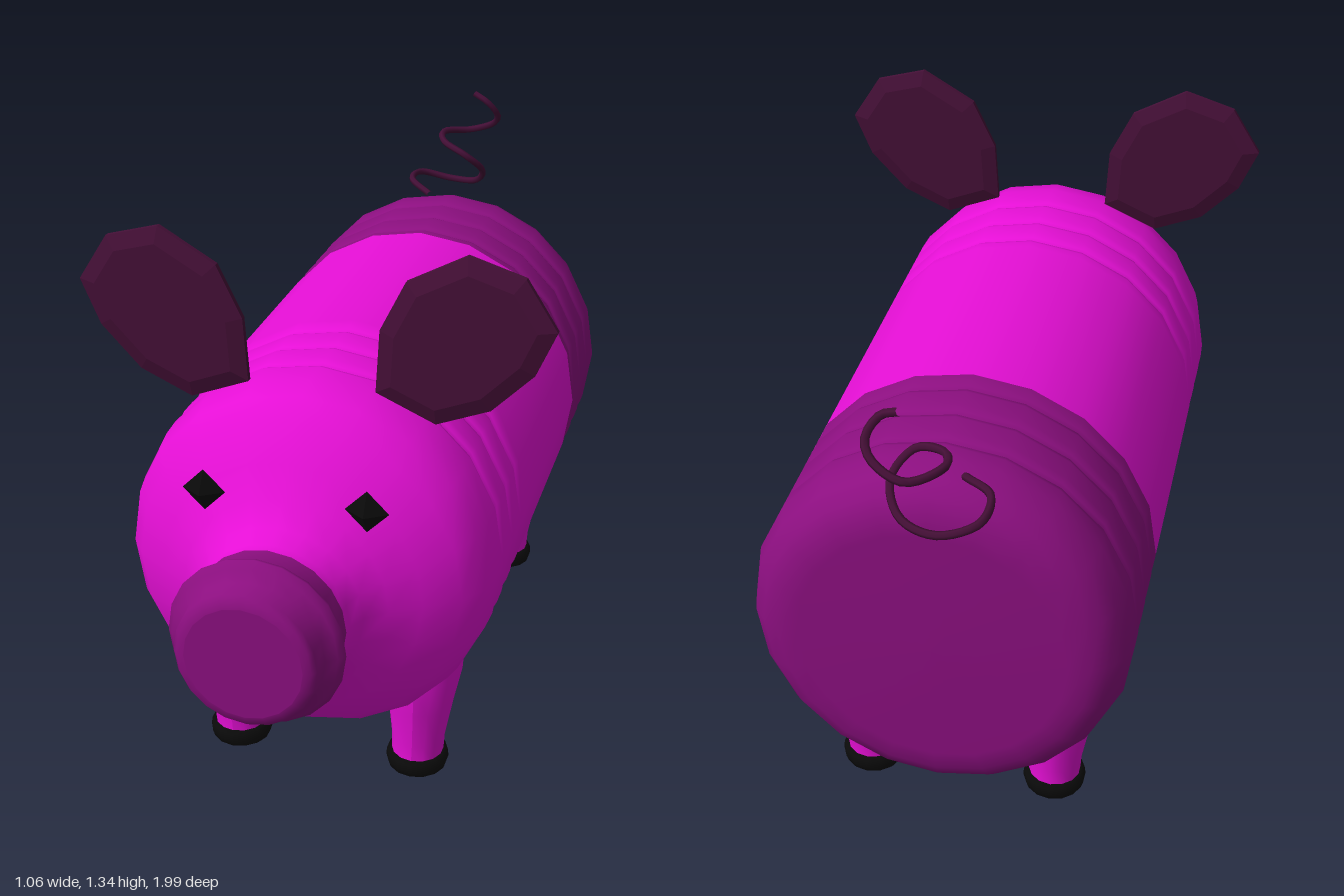
import * as THREE from 'three';

const mat = (name, color, extra = {}) => {
  const m = new THREE.MeshStandardMaterial({ color, ...extra });
  m.name = name;
  return m;
};

export function createModel() {
  const pink = mat('bright pink', 0xe60fd6);
  const plum = mat('plum', 0x8c0f80);
  const dark = mat('dark ear', 0x440f36);
  const earDark = mat('dark ear flat', 0x440f36);
  earDark.flatShading = true;
  const black = mat('black', 0x0a0a0a);
  const group = new THREE.Group();

  const add = (name, geometry, material, parent = group) => {
    const mesh = new THREE.Mesh(geometry, material);
    mesh.name = name;
    parent.add(mesh);
    return mesh;
  };

  // Turned section lying along z; profile is [z, radius], back to front
  const turned = (name, profile, material) => {
    const points = profile.map(([z, r]) => new THREE.Vector2(r, z));
    const mesh = add(name, new THREE.LatheGeometry(points, 20).rotateX(Math.PI / 2), material);
    mesh.position.y = 0.607;
    mesh.scale.x = 0.985;
    return mesh;
  };

  // Narrow groove between the bulging rings
  const R = 0.4285;
  const groove = z => [[z - 0.025, R], [z - 0.008, R - 0.006], [z, R - 0.016], [z + 0.008, R - 0.006], [z + 0.025, R]];

  turned('rump', [
    [-0.838, 0], [-0.836, 0.3], [-0.828, 0.35], [-0.81, 0.385], [-0.78, 0.412], [-0.73, R],
    ...groove(-0.66), ...groove(-0.555), ...groove(-0.455), [-0.41, R],
  ], plum);
  turned('trunk', [
    [-0.41, R], [0.2, R], ...groove(0.25), ...groove(0.345), ...groove(0.445),
    [0.53, R - 0.003], [0.59, 0.412], [0.64, 0.375], [0.69, 0.3],
    [0.73, 0.235], [0.77, 0.19], [0.81, 0.172], [0.83, 0.17],
  ], pink);
  turned('snout', [
    [0.83, 0.17], [0.88, 0.172], [0.9, 0.19], [0.915, 0.196], [0.93, 0.183], [0.945, 0.16],
    [0.985, 0.156], [0.996, 0.147], [1, 0.13], [1, 0.129], [1, 0],
  ], plum);

  // Four legs, spreading outward at the top, with hooves
  const legProfile = [[0.062, 0.04], [0.063, 0.09], [0.077, 0.19], [0.092, 0.28], [0.095, 0.42]]
    .map(p => new THREE.Vector2(...p));
  const hoofProfile = [[0, 0], [0.055, 0], [0.07, 0.01], [0.075, 0.026], [0.073, 0.044], [0.062, 0.05], [0, 0.05]]
    .map(p => new THREE.Vector2(...p));
  for (const [end, z] of [['front', 0.44], ['back', -0.565]]) {
    for (const [side, s] of [['Left', 1], ['Right', -1]]) {
      const limb = new THREE.Group();
      limb.name = `${end}${side}Leg`;
      limb.position.set(s * 0.224, 0, z);
      group.add(limb);
      const leg = new THREE.LatheGeometry(legProfile, 14);
      const p = leg.attributes.position;
      for (let i = 0; i < p.count; i++) p.setX(i, p.getX(i) + s * 0.05 * Math.max(0, p.getY(i) - 0.05));
      leg.computeVertexNormals();
      add('leg', leg, pink, limb);
      add('hoof', new THREE.LatheGeometry(hoofProfile, 14), black, limb);
    }
  }

  // Faceted ears with thin edges, and diamond eyes
  const earOutline = [
    [0.53, 1.2], [0.46, 1.307], [0.337, 1.342], [0.206, 1.27], [0.149, 1.155],
    [0.14, 1.01], [0.275, 0.955], [0.395, 1.005], [0.486, 1.098],
  ];
  for (const [side, s] of [['left', 1], ['right', -1]]) {
    const shape = new THREE.Shape(earOutline.map(([x, y]) => new THREE.Vector2(s * (x - 0.335), y)));
    const geometry = new THREE.ExtrudeGeometry(shape, {
      depth: 0.012, bevelSize: 0.035, bevelOffset: -0.035, bevelThickness: 0.012, bevelSegments: 1,
    }).translate(0, 0, -0.006);
    const ear = add(`${side}Ear`, geometry, earDark);
    ear.position.set(s * 0.335, 0, 0.516);
    ear.rotation.y = -0.05;

    const eye = add(`${side}Eye`, new THREE.OctahedronGeometry(0.048), black);
    eye.position.set(s * 0.18, 0.835, 0.718);
    eye.scale.z = 0.65;
  }

  // Curly tail
  const path = [
    [-0.065, 1.02, -0.765], [-0.135, 1.035, -0.84], [-0.13, 1.03, -0.93], [-0.05, 1.01, -0.955],
    [0.03, 1.02, -0.925], [0.06, 1.07, -0.87], [0.02, 1.12, -0.83], [-0.05, 1.145, -0.865],
    [-0.065, 1.155, -0.93], [0, 1.15, -0.985], [0.07, 1.18, -0.965], [0.085, 1.21, -0.94],
    [0.06, 1.25, -0.92], [0.02, 1.27, -0.93],
  ].map(p => new THREE.Vector3(...p));
  add('tail', new THREE.TubeGeometry(new THREE.CatmullRomCurve3(path), 60, 0.009, 6), dark);

  return group;
}
